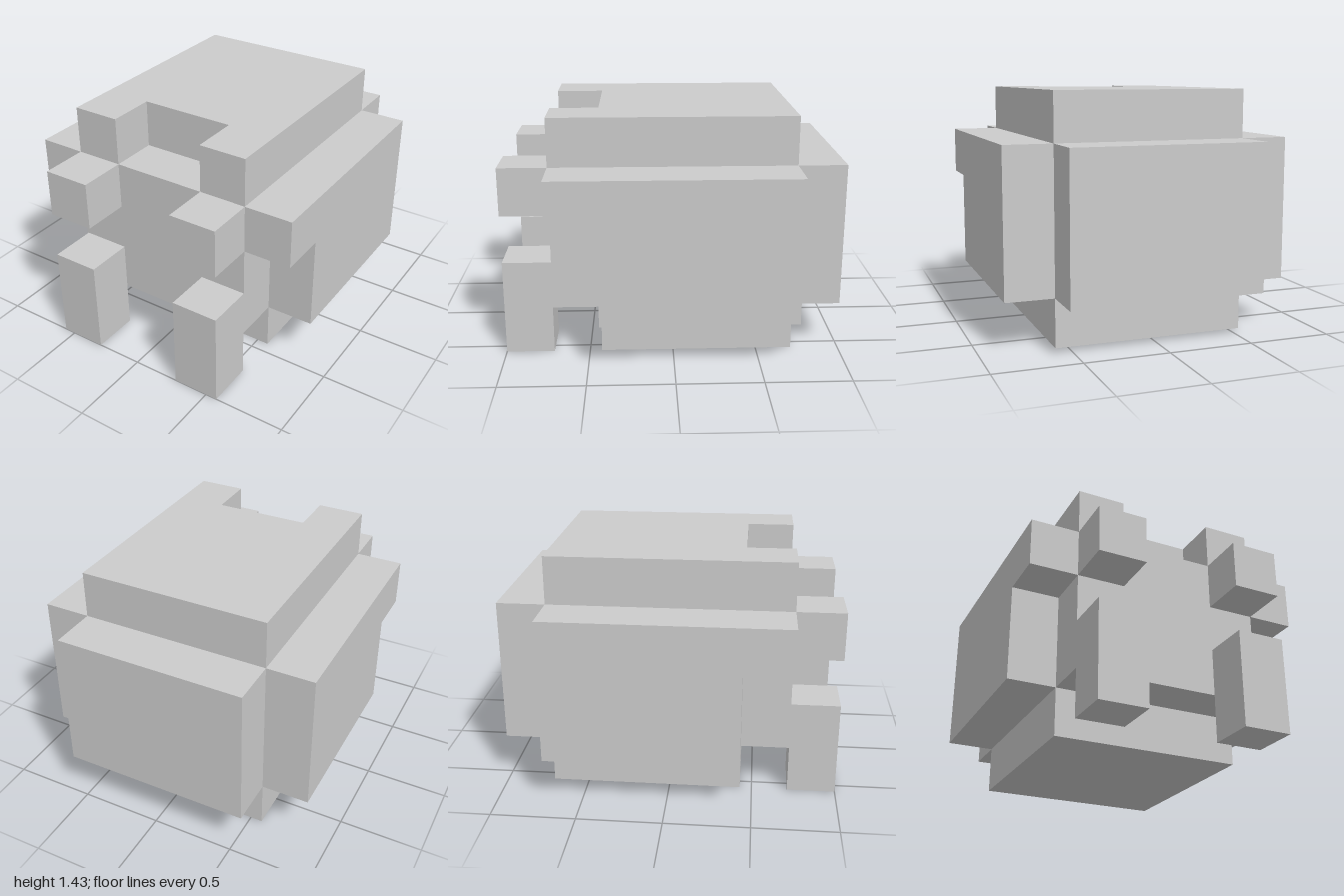
import * as THREE from 'three';

const U = 2 / 7; // edge of one block

export function createModel() {
  const group = new THREE.Group();
  const material = new THREE.MeshStandardMaterial({ color: 0xcccccc, flatShading: true });

  const add = (name, geometry) => {
    geometry.scale(U, U, U);
    const mesh = new THREE.Mesh(geometry, material);
    mesh.name = name;
    group.add(mesh);
  };

  // Box given by its two opposite corners, in blocks
  const box = (name, [x0, y0, z0], [x1, y1, z1]) =>
    add(name, new THREE.BoxGeometry(x1 - x0, y1 - y0, z1 - z0)
      .translate((x0 + x1) / 2, (y0 + y1) / 2, (z0 + z1) / 2));

  // One-block-thick slab from an outline
  const slab = (points) => new THREE.ExtrudeGeometry(
    new THREE.Shape(points.map(([a, b]) => new THREE.Vector2(a, b))),
    { depth: 1, bevelEnabled: false });

  // Body core, with the layers on its underside and back
  box('body', [-2, 1, -2.5], [2, 4, 2.5]);
  box('base', [-2, 0, -2.5], [2, 1, 1.5]);
  box('backPanel', [-2, 1, -3.5], [2, 4, -2.5]);

  // Top layer, notched at the front (outline in x, z)
  add('topPanel', slab([
    [-2, -2.5], [2, -2.5], [2, 2.5], [1, 2.5],
    [1, 1.5], [-1, 1.5], [-1, 2.5], [-2, 2.5],
  ]).rotateX(Math.PI / 2).translate(0, 5, 0));

  // Stepped side layers (outline in z, y), brow blocks and front legs
  for (const [side, s] of [['left', 1], ['right', -1]]) {
    add(side + 'SidePanel', slab([
      [-2.5, 1], [1.5, 1], [1.5, 3], [2.5, 3], [2.5, 4], [-2.5, 4],
    ]).rotateY(-Math.PI / 2).translate(s * 2.5 + 0.5, 0, 0));

    const x = s * 1.5;
    box(side + 'Brow', [x - 0.5, 3, 2.5], [x + 0.5, 4, 3.5]);
    box(side + 'FrontLeg', [x - 0.5, 0, 2.5], [x + 0.5, 2, 3.5]);
  }

  return group;
}
